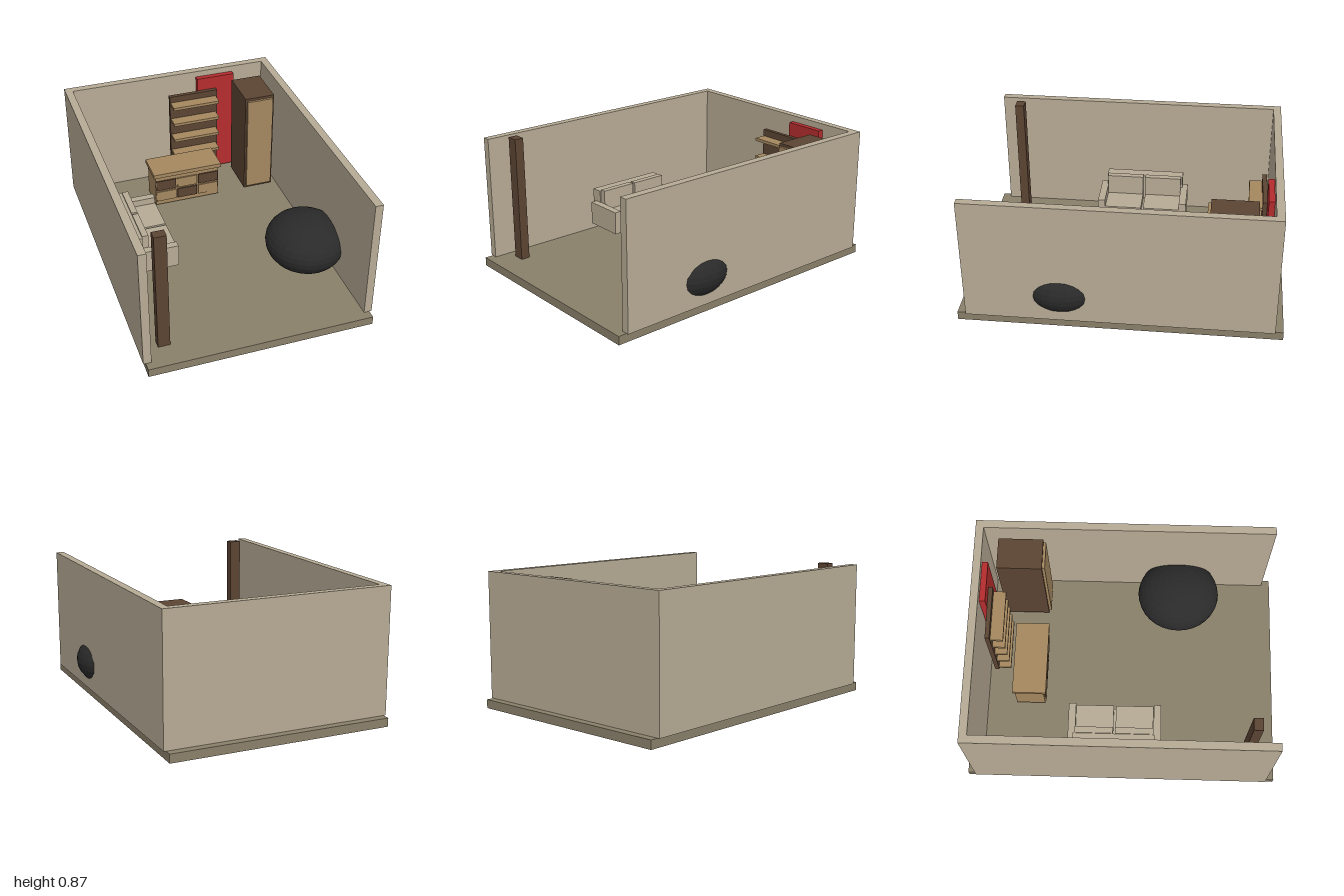
import * as THREE from 'three';

const material = (name, color, flatShading = false) => {
  const m = new THREE.MeshStandardMaterial({ color, flatShading });
  m.name = name;
  return m;
};

export function createModel() {
  const floorMat = material('floor taupe', 0x8a806a);
  const beige = material('beige', 0xb7ab95);
  const darkWood = material('dark wood', 0x5c4433);
  const lightWood = material('light wood', 0xa4875f);
  const red = material('red', 0xb52c2e);
  const black = material('charcoal', 0x2a2a2a, true);

  const room = new THREE.Group();
  room.name = 'room';

  const group = (name) => {
    const g = new THREE.Group();
    g.name = name;
    room.add(g);
    return g;
  };
  // Box given by its limits on each axis
  const box = (parent, name, mat, [x0, x1], [y0, y1], [z0, z1]) => {
    const mesh = new THREE.Mesh(new THREE.BoxGeometry(x1 - x0, y1 - y0, z1 - z0), mat);
    mesh.position.set((x0 + x1) / 2, (y0 + y1) / 2, (z0 + z1) / 2);
    mesh.name = name;
    parent.add(mesh);
    return mesh;
  };

  // Floor and three walls
  box(room, 'floor', floorMat, [-0.735, 0.685], [0, 0.055], [-1, 1]);
  const wallY = [0.055, 0.855];
  box(room, 'rightWall', beige, [-0.75, -0.7], wallY, [-0.95, 0.945]);
  box(room, 'leftWall', beige, [0.65, 0.7], wallY, [-0.95, 0.945]);
  box(room, 'backWall', beige, [-0.7, 0.65], wallY, [-0.95, -0.9]);

  // Post near the open front
  box(room, 'post', darkWood, [-0.63, -0.555], [0.055, 0.865], [0.78, 0.838]);

  // Flattened ball that pokes through the wall
  const ball = new THREE.Mesh(new THREE.SphereGeometry(1, 32, 16), black);
  ball.name = 'ball';
  ball.scale.set(0.255, 0.18, 0.27);
  ball.position.set(0.495, 0.225, 0.358);
  room.add(ball);

  // Red panel on the back wall
  box(room, 'redPanel', red, [0.165, 0.43], [0.075, 0.815], [-0.898, -0.861]);

  // Shelves on a dark backboard
  const shelves = group('bookshelf');
  box(shelves, 'backboard', darkWood, [-0.045, 0.298], [0.14, 0.725], [-0.86, -0.832]);
  for (let i = 0; i < 5; i++) {
    const y = 0.152 + i * 0.127;
    box(shelves, 'shelf', lightWood, [-0.04, 0.288], [y, y + 0.02], [-0.832, -0.752]);
  }

  // Wardrobe with a light door
  const wardrobe = group('wardrobe');
  box(wardrobe, 'cabinet', darkWood, [0.4, 0.605], [0.075, 0.795], [-0.81, -0.525]);
  box(wardrobe, 'door', lightWood, [0.412, 0.593], [0.095, 0.777], [-0.525, -0.508]);

  // Sideboard with six drawers, alternating in colour
  const desk = group('sideboard');
  box(desk, 'top', lightWood, [-0.267, 0.215], [0.305, 0.333], [-0.715, -0.498]);
  box(desk, 'body', lightWood, [-0.253, 0.2], [0.075, 0.305], [-0.705, -0.517]);
  for (let c = 0; c < 3; c++) {
    for (let r = 0; r < 2; r++) {
      const x = -0.248 + c * 0.151;
      const y = 0.108 + r * 0.087;
      box(desk, 'drawer', (c + r) % 2 ? darkWood : lightWood,
        [x, x + 0.14], [y, y + 0.074], [-0.517, -0.508]);
    }
  }

  // Sofa facing the left wall
  const sofa = group('sofa');
  box(sofa, 'base', beige, [-0.585, -0.325], [0.165, 0.205], [-0.3, 0.205]);
  box(sofa, 'backrest', beige, [-0.615, -0.54], [0.165, 0.38], [-0.31, 0.21]);
  for (const z of [-0.345, 0.205]) {
    box(sofa, 'arm', beige, [-0.585, -0.32], [0.148, 0.3], [z, z + 0.047]);
  }
  for (const z of [-0.298, -0.04]) {
    box(sofa, 'seatCushion', beige, [-0.5, -0.317], [0.205, 0.255], [z, z + 0.243]);
    box(sofa, 'backCushion', beige, [-0.54, -0.5], [0.205, 0.39], [z, z + 0.243]);
  }

  return room;
}
